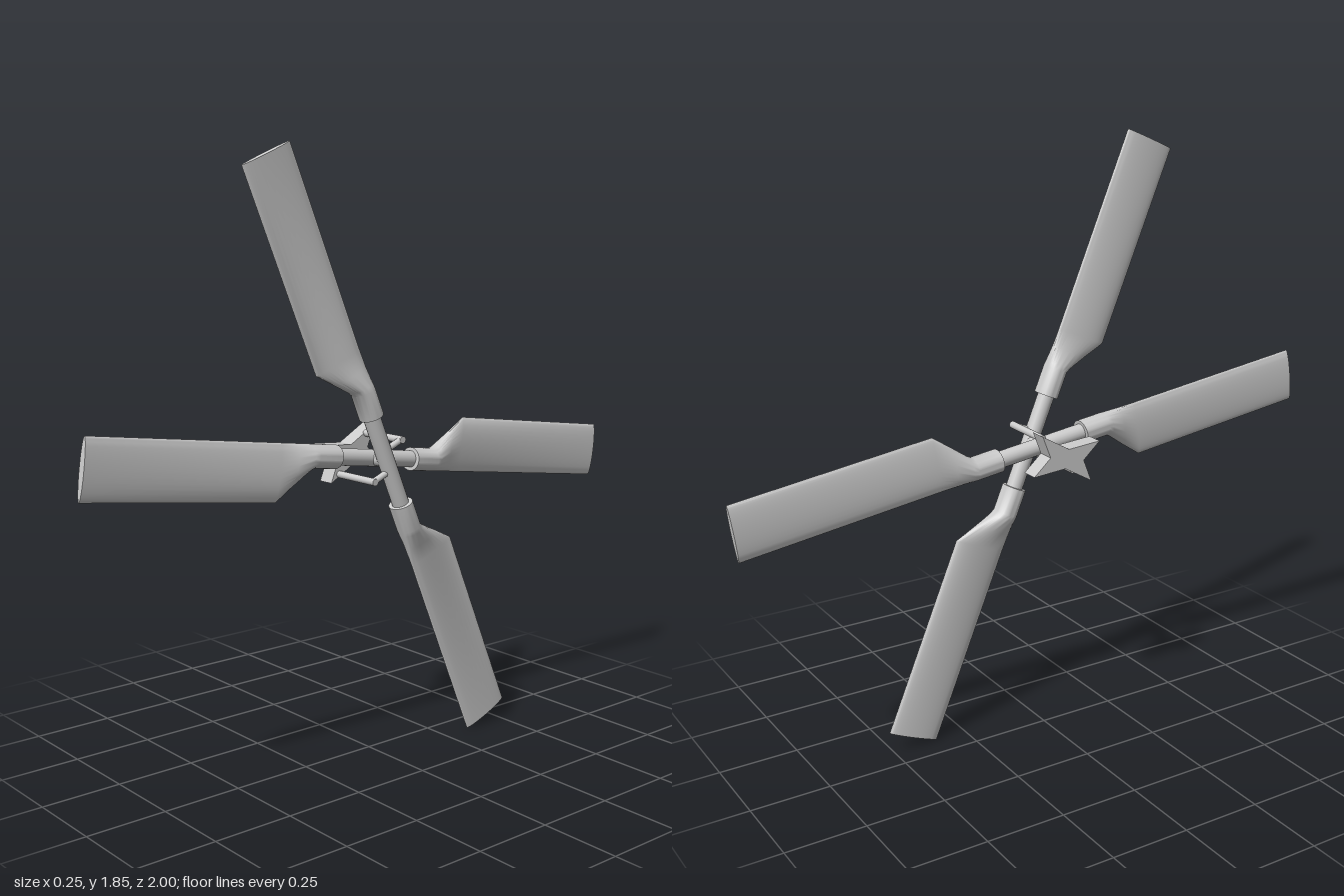
import * as THREE from 'three';
import { toCreasedNormals } from 'three/addons/utils/BufferGeometryUtils.js';

const material = new THREE.MeshStandardMaterial({ color: 0xcccccc });
const HUB_Y = 0.9325;

function part(name, geometry, parent) {
  const mesh = new THREE.Mesh(geometry, material);
  mesh.name = name;
  parent.add(mesh);
  return mesh;
}

// Round rod between two points
function rod(name, from, to, radius, parent) {
  const a = new THREE.Vector3(...from), b = new THREE.Vector3(...to);
  const dir = b.clone().sub(a);
  const mesh = part(name, new THREE.CylinderGeometry(radius, radius, dir.length(), 20), parent);
  mesh.position.copy(a).add(b).multiplyScalar(0.5);
  mesh.quaternion.setFromUnitVectors(new THREE.Vector3(0, 1, 0), dir.normalize());
  return mesh;
}

// Blade: elliptical sections lofted along +y, from a round cuff to a flat blade
function bladeGeometry() {
  // distance from hub, leading edge z, trailing edge z, half thickness
  const stations = [
    [0.15, -0.036, 0.036, 0.04],
    [0.235, -0.036, 0.036, 0.04],
    [0.25, -0.036, 0.045, 0.037],
    [0.30, -0.036, 0.09, 0.024],
    [0.355, -0.036, 0.138, 0.0125],
    [0.989, -0.036, 0.139, 0.0125],
  ];
  const n = 32, pos = [], index = [];
  for (const [y, z0, z1, half] of stations) {
    for (let i = 0; i < n; i++) {
      const t = (i / n) * Math.PI * 2;
      pos.push(half * Math.sin(t), y, (z0 + z1) / 2 + ((z1 - z0) / 2) * Math.cos(t));
    }
  }
  for (let s = 0; s < stations.length - 1; s++) {
    for (let i = 0; i < n; i++) {
      const a = s * n + i, b = s * n + ((i + 1) % n);
      index.push(a, b, b + n, a, b + n, a + n);
    }
  }
  // end caps
  const last = (stations.length - 1) * n;
  for (let i = 1; i < n - 1; i++) {
    index.push(0, i + 1, i);
    index.push(last, last + i, last + i + 1);
  }
  const g = new THREE.BufferGeometry();
  g.setAttribute('position', new THREE.Float32BufferAttribute(pos, 3));
  g.setIndex(index);
  return toCreasedNormals(g, 0.6);
}

// Two opposed blades on a common shaft
function bladePair(name, x, degrees, blade, parent) {
  const pair = new THREE.Group();
  pair.name = name;
  pair.position.set(x, HUB_Y, 0);
  pair.rotation.x = THREE.MathUtils.degToRad(degrees);
  parent.add(pair);
  rod('bladeShaft', [0, -0.2, 0], [0, 0.2, 0], 0.026, pair);
  for (let i = 0; i < 2; i++) {
    part('blade', blade, pair).rotation.x = i * Math.PI;
  }
}

// Four-pointed control plate, extruded along x
function controlPlateGeometry() {
  const shape = new THREE.Shape();
  // angle from +z toward +y, radius
  const half = [[18, 0.121], [77, 0.03], [136, 0.119], [167, 0.06]];
  for (let k = 0; k < 8; k++) {
    const [deg, r] = half[k % 4];
    const t = THREE.MathUtils.degToRad(deg + (k < 4 ? 0 : 180));
    const px = -r * Math.cos(t), py = r * Math.sin(t);
    if (k === 0) shape.moveTo(px, py);
    else shape.lineTo(px, py);
  }
  const g = new THREE.ExtrudeGeometry(shape, { depth: 0.055, bevelEnabled: false });
  g.rotateY(Math.PI / 2);
  return g;
}

export function createModel() {
  const model = new THREE.Group();
  model.name = 'tailRotor';
  const blade = bladeGeometry();

  bladePair('outerBladePair', 0.08, 22.8, blade, model);
  bladePair('innerBladePair', 0.022, 82.1, blade, model);

  // Hub joining the two shafts
  rod('hub', [0.01, HUB_Y, 0], [0.085, HUB_Y, 0], 0.022, model);

  part('controlPlate', controlPlateGeometry(), model).position.set(-0.13, HUB_Y, 0);

  // Pitch links and the short horns that meet the outer shaft
  for (const s of [1, -1]) {
    const y = HUB_Y + s * 0.058, z = -s * 0.054;
    rod('pitchLink', [-0.08, y, z], [0.095, y, z], 0.011, model);
    rod('pitchHorn', [0.085, y, z], [0.085, HUB_Y + s * 0.03, s * 0.012], 0.01, model);
  }
  return model;
}
